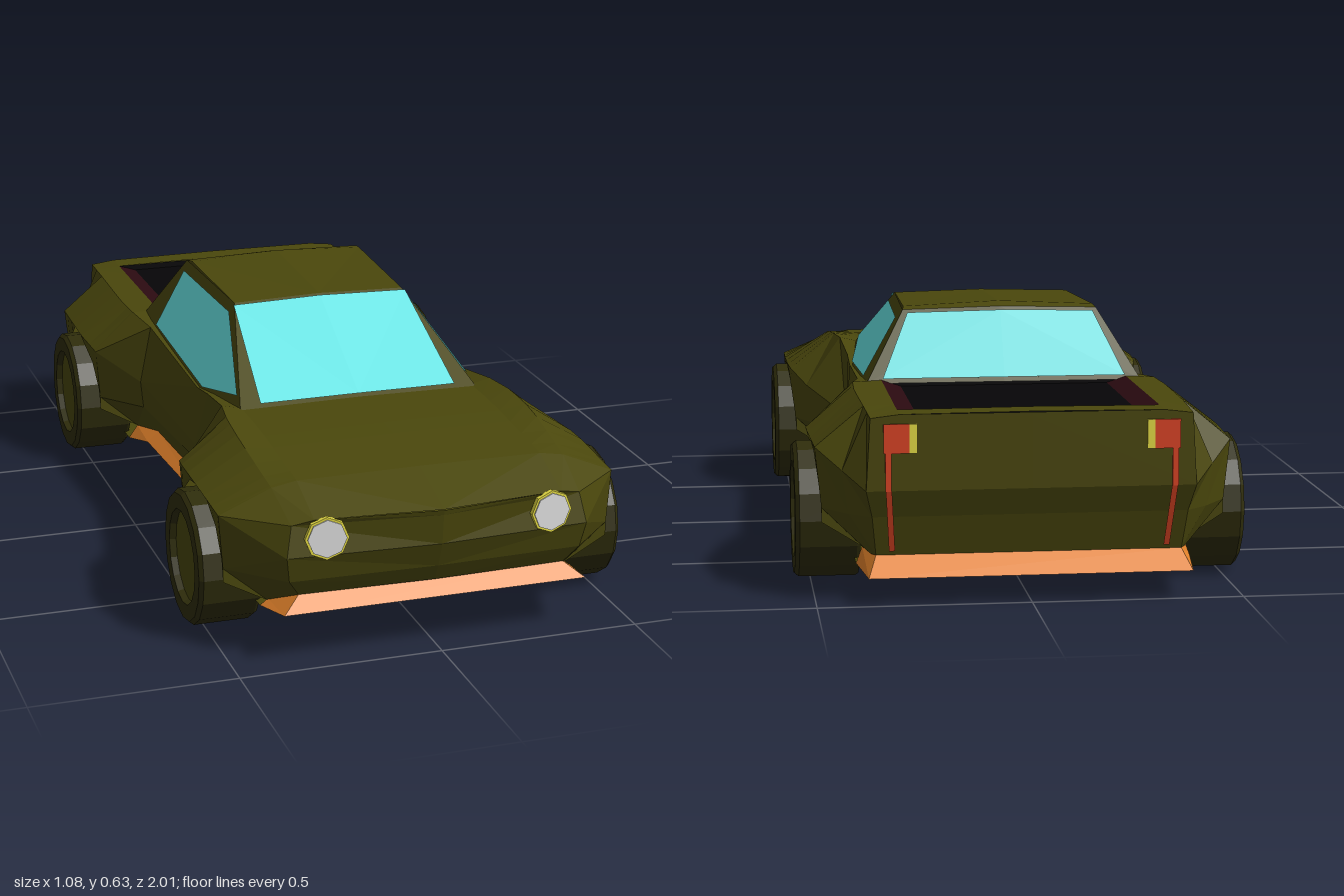
import * as THREE from 'three';

const mat = (name, color) => {
  const m = new THREE.MeshStandardMaterial({ color, flatShading: true, side: THREE.DoubleSide });
  m.name = name;
  return m;
};

const surface = (pos) => {
  const g = new THREE.BufferGeometry();
  g.setAttribute('position', new THREE.Float32BufferAttribute(pos, 3));
  g.computeVertexNormals();
  return g;
};

// Grid of points -> faceted surface, with mirrored diagonals on the two halves
function grid(rows, skip = () => false) {
  const pos = [];
  for (let i = 0; i < rows.length - 1; i++) {
    for (let j = 0; j < rows[i].length - 1; j++) {
      if (skip(i, j)) continue;
      const a = rows[i][j], b = rows[i + 1][j], c = rows[i + 1][j + 1], d = rows[i][j + 1];
      if (j < (rows[i].length - 1) / 2) pos.push(...a, ...b, ...d, ...b, ...c, ...d);
      else pos.push(...a, ...b, ...c, ...a, ...c, ...d);
    }
  }
  return surface(pos);
}

// Flat convex polygon as a fan
function plate(pts) {
  const pos = [];
  for (let i = 1; i < pts.length - 1; i++) pos.push(...pts[0], ...pts[i], ...pts[i + 1]);
  return surface(pos);
}

const flip = ([x, y, z]) => [-x, y, z];
const span = (p) => [p, flip(p)];

// Half sections: z, sill x y, lower side x, widest x y, shoulder x y, deck y
const KEYS = [
  [0.96, .335, .16, .365, .375, .27, .36, .345, .36],
  [0.83, .38, .11, .49, .50, .34, .37, .395, .408],
  [0.60, .39, .10, .50, .505, .355, .38, .435, .428],
  [0.47, .375, .10, .49, .50, .35, .375, .445, .434],
  [0.37, .36, .105, .445, .455, .31, .36, .445, .435],
  [0.20, .32, .13, .35, .355, .25, .35, .42, .415],
  [0.10, .325, .13, .355, .36, .25, .35, .405, .40],
  [-0.35, .345, .13, .385, .392, .28, .36, .435, .435],
  [-0.47, .375, .11, .48, .49, .34, .38, .445, .45],
  [-0.60, .39, .11, .50, .505, .355, .385, .445, .45],
  [-0.85, .385, .11, .48, .495, .35, .38, .445, .45],
  [-1.00, .36, .11, .37, .385, .27, .375, .44, .45],
];
const FRONT = 0.64, REAR = -0.66, ARCH = 0.19;

function section(z, open = false, zs = []) {
  let k = 0;
  while (k < KEYS.length - 2 && z < KEYS[k + 1][0]) k++;
  const t = (KEYS[k][0] - z) / (KEYS[k][0] - KEYS[k + 1][0]);
  const v = KEYS[k].map((a, i) => a + (KEYS[k + 1][i] - a) * t);
  const p = [[v[1], v[2]], [v[3], .205], [v[4], v[5]], [v[6], v[7]], [.308, v[8] - .002]]
    .map(([x, y], i) => [x, y, zs[i] ?? z]);
  if (open) { // raise the lower edge to the wheel arch
    const u = (z - (z > 0 ? FRONT : REAR)) / ARCH;
    const y = 0.17 + 0.178 * Math.sqrt(Math.max(0, 1 - u * u));
    p[0] = [p[1][0], y, z];
    p[1][1] = Math.max(p[1][1], y);
    p[2][1] = Math.max(p[2][1], y + 0.004);
  }
  return [...p, [0, v[8], zs[5] ?? z], ...p.slice().reverse().map(flip)];
}

export function createModel() {
  const car = new THREE.Group();
  car.name = 'pickupCar';
  const olive = mat('olivePaint', 0x4a470c), tyre = mat('darkTyre', 0x2f2d0b);
  const cyan = mat('cyanGlass', 0x68e6e6), orange = mat('orangeTrim', 0xe6842c);
  const red = mat('red', 0xdc4424), black = mat('bedBlack', 0x060507);
  const maroon = mat('bedMaroon', 0x2a0a10), grey = mat('lampGrey', 0xe2e2e2);
  const yellow = mat('lampYellow', 0xf0e648);
  const add = (name, geo, m, parent = car) => {
    const mesh = new THREE.Mesh(geo, m);
    mesh.name = name;
    parent.add(mesh);
    return mesh;
  };
  const both = (name, rows, m) => {
    add(name + 'Left', grid(rows), m);
    add(name + 'Right', grid(rows.map((r) => r.map(flip).reverse())), m);
  };
  const bothPlates = (name, pts, m) => {
    add(name + 'Left', plate(pts), m);
    add(name + 'Right', plate(pts.map(flip).reverse()), m);
  };

  // Body shell with wheel arches and an open load bed
  const nose = section(0.96, false, [.93, .955, .97, .955, .967, 1]);
  const tail = section(-1, false, [-.95, -.975]);
  const arch = (c) => [
    section(c + ARCH),
    ...[1, .95, .72, .38, 0, -.38, -.72, -.95, -1].map((u) => section(c + u * ARCH, true)),
    section(c - ARCH)];
  const rows = [nose, ...arch(FRONT), ...[.37, .2, .1, -.35].map((z) => section(z)),
    ...arch(REAR), section(-.93), tail];
  const overBed = (i, j) => (j === 4 || j === 5) && rows[i][5][2] < -.465 && rows[i][5][2] > -.92;
  add('bodyShell', grid(rows, overBed), olive);
  const cap = (s, zs) => zs.map((z, i) => [s[i], [0, s[i][1], z], flip(s[i])]);
  add('noseFace', grid(cap(nose, [.94, .965, .99, .997, 1])), olive);
  add('tailgate', grid(cap(tail, [-.95, -.975, -1, -1, -1]).reverse()), olive);

  // Floor pan
  const floor = [[.38, .125, .965], [.40, .10, .83], [.40, .08, .45], [.348, .10, .2],
    [.375, .10, -.35], [.40, .075, -.47], [.40, .07, -.85], [.38, .065, -1]];
  add('floorPan', grid(floor.map((p) => span(p).reverse())), olive);

  // Red underside tray with chamfered sides and a rising front
  const under = [[.27, .099, .85], [.295, .066, .72], [.30, .064, .45], [.30, .088, .2],
    [.30, .088, -.35], [.30, .06, -.47], [.30, .058, -.85]];
  add('undersideTray', grid(under.map(([x, y, z]) => {
    const edge = [x + .02, y + .015, z];
    return [flip(edge), [-x, y, z], [x, y, z], edge];
  })), red);

  // Orange lips and sills
  const lipF = [[.335, .16, .93], [.38, .115, .83]], lipR = [[.385, .11, -.85], [.36, .11, -.95]];
  add('frontLip', grid([span(floor[0]), span(lipF[0])]), orange);
  add('rearLip', grid([span(lipR[1]), span(floor[7])]), orange);
  both('frontLipSide', [[floor[0], lipF[0]], [floor[1], lipF[1]]], orange);
  both('rearLipSide', [[floor[6], lipR[0]], [floor[7], lipR[1]]], orange);
  both('sill', [.45, .2, -.35, -.47].map((z, i) => [floor[i + 2], section(z)[0]]), orange);

  // Cabin: each side lies on one plane, leaning in and narrowing forward
  const side = (z, y, out = 0) => [.335 - (y - .45) * .555 - (z + .35) * .04 + out, y, z];
  const baseF = side(.39, .43), baseM = side(.1, .395), baseR = side(-.475, .44);
  const topF = side(.045, .608), topR = side(-.375, .612);
  const crowned = (p, y) => [p, [0, y, p[2]], flip(p)];
  bothPlates('cabinSide', [baseM, baseR, topR, topF, baseF], olive);
  add('roof', grid([crowned(topF, .614), crowned(side(-.34, .617), .628), crowned(topR, .618)]), olive);
  add('windshieldFrame', grid([crowned(baseF, .43), crowned(topF, .614)]), olive);
  add('rearWindowFrame', grid([crowned(topR, .618), crowned(baseR, .44)]), olive);

  // Glass
  bothPlates('sideWindow', [[.12, .412], [-.35, .442], [-.35, .59], [.05, .587], [.335, .455]]
    .map(([z, y]) => side(z, y, .005)), cyan);
  add('windshield', grid([crowned([.26, .442, .376], .443), crowned([.237, .606, .057], .612)]), cyan);
  add('rearWindow', grid([crowned([.235, .606, -.387], .61), crowned([.305, .452, -.478], .452)]), cyan);

  // Shallow load bed
  const bed = [-.47, -.93];
  add('bedFloor', grid(bed.map((z) => span([.26, .432, z]))), black);
  both('bedWall', bed.map((z) => [[.308, .448, z], [.26, .432, z]]), maroon);
  const endWall = (z) => [span([.308, .448, z]), span([.26, .432, z])];
  add('bedFrontWall', grid(endWall(bed[0])), black);
  add('bedRearWall', grid(endWall(bed[1]).reverse()), black);

  // Tail lamp strip following the sloping lower tailgate
  bothPlates('lampStripLower', [[.326, .27, -1.004], [.34, .27, -1.004],
    [.33, .12, -.957], [.316, .12, -.957]], red);

  for (const s of [1, -1]) {
    const label = s > 0 ? 'Left' : 'Right';
    // Headlights, turned to follow the nose
    const disc = (n, r, z, m) => {
      const g = new THREE.CylinderGeometry(r, r, .012, 8).rotateX(Math.PI / 2).rotateY(s * .1);
      add(n + label, g, m).position.set(s * .28, .313, z - .006);
    };
    disc('headlightRim', .053, .979, yellow);
    disc('headlight', .047, .982, grey);

    // Tail lamps
    const lamp = (n, x, y, w, h, m) =>
      add(n + label, new THREE.BoxGeometry(w, h, .008), m).position.set(s * x, y, -1.001);
    lamp('tailLamp', .315, .392, .06, .068, red);
    lamp('turnLamp', .276, .392, .018, .068, yellow);
    lamp('lampStrip', .334, .315, .014, .09, red);

    // Wheels
    for (const z of [FRONT, REAR]) {
      const wheel = new THREE.Group();
      wheel.name = (z > 0 ? 'frontWheel' : 'rearWheel') + label;
      const pts = [[0, -.078], [.162, -.078], [.167, -.07], [.167, .066], [.158, .076], [.118, .076], [.112, .055]]
        .map(([r, y]) => new THREE.Vector2(r, y));
      add('tyre', new THREE.LatheGeometry(pts, 16), tyre, wheel);
      add('hub', new THREE.CylinderGeometry(.114, .114, .02, 16), olive, wheel).position.y = .05;
      wheel.rotation.z = -s * Math.PI / 2;
      wheel.position.set(s * .464, .167, z);
      car.add(wheel);
    }
  }
  return car;
}
